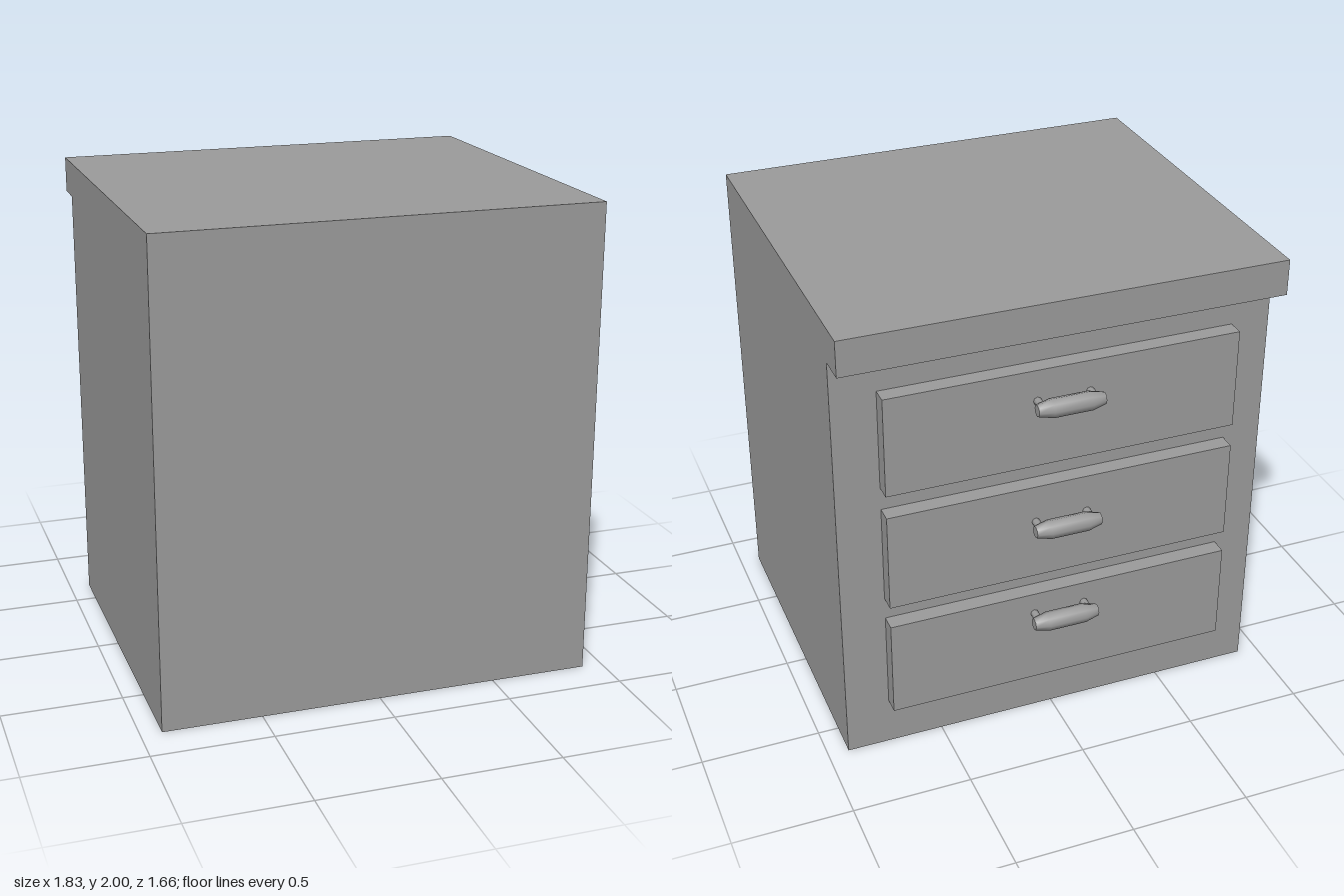
import * as THREE from 'three';

export function createModel() {
  const group = new THREE.Group();
  group.name = 'drawerCabinet';
  const material = new THREE.MeshStandardMaterial({ color: 0x9b9b9b });

  const add = (parent, name, geometry, x = 0, y = 0, z = 0) => {
    const mesh = new THREE.Mesh(geometry, material);
    mesh.name = name;
    mesh.position.set(x, y, z);
    parent.add(mesh);
    return mesh;
  };

  // Carcass with overhanging top: side profile (u = -z) extruded across the width
  const width = 1.826;
  const profile = new THREE.Shape([
    [-0.83, 0], [0.65, 0], [0.65, 1.85], [0.775, 1.85], [0.775, 2], [-0.83, 2],
  ].map(([u, y]) => new THREE.Vector2(u, y)));
  const carcass = new THREE.ExtrudeGeometry(profile, { depth: width, bevelEnabled: false });
  carcass.translate(0, 0, -width / 2).rotateY(Math.PI / 2);
  add(group, 'carcass', carcass);

  // Shared drawer parts
  const panelGeometry = new THREE.BoxGeometry(1.48, 0.428, 0.07);
  const gripProfile = [[0.025, -0.14], [0.04, -0.08], [0.04, 0.08], [0.025, 0.14]]
    .map(([r, x]) => new THREE.Vector2(r, x));
  const gripGeometry = new THREE.LatheGeometry(gripProfile, 8).rotateZ(Math.PI / 2);
  const capGeometry = new THREE.CircleGeometry(0.025, 8);
  const postGeometry = new THREE.CylinderGeometry(0.017, 0.017, 0.07, 8).rotateX(Math.PI / 2);

  // Three drawers: panel centre height and handle height
  [[1.478, 1.558], [0.951, 1.001], [0.427, 0.545]].forEach(([panelY, handleY]) => {
    const drawer = new THREE.Group();
    drawer.name = 'drawer';
    group.add(drawer);
    add(drawer, 'drawerFront', panelGeometry, -0.01, panelY, -0.685);

    const handle = new THREE.Group();
    handle.name = 'handle';
    handle.position.set(0, handleY, -0.79);
    drawer.add(handle);
    add(handle, 'grip', gripGeometry);
    for (const side of [-1, 1]) {
      add(handle, 'gripEnd', capGeometry, side * 0.14).rotation.y = side * Math.PI / 2;
      add(handle, 'handlePost', postGeometry, side * 0.11, 0, 0.035);
    }
  });

  return group;
}
